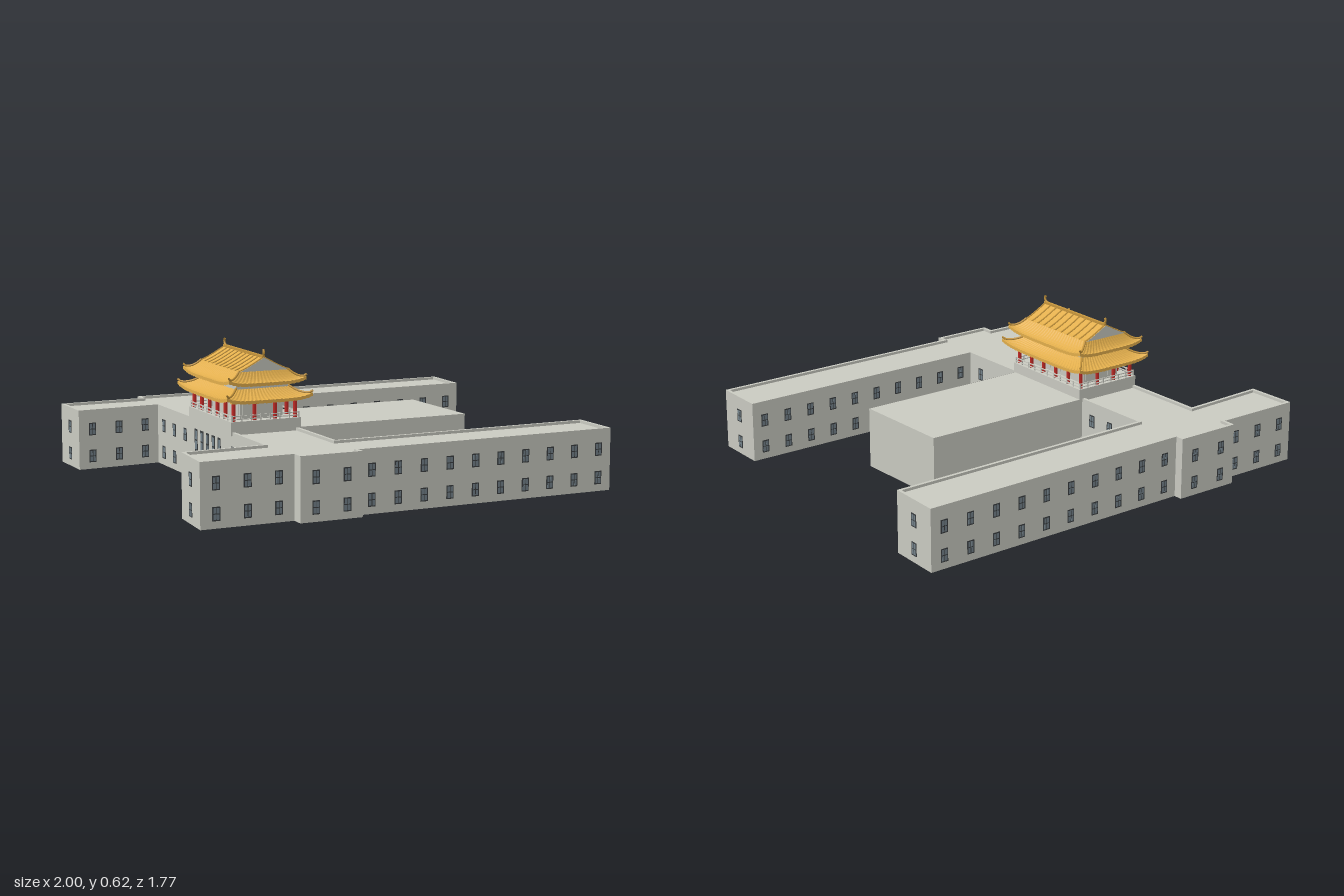
import * as THREE from 'three';
import { mergeGeometries } from 'three/addons/utils/BufferGeometryUtils.js';
import { ParametricGeometry } from 'three/addons/geometries/ParametricGeometry.js';

const mat = (name, color) => new THREE.MeshStandardMaterial({ name, color, side: THREE.DoubleSide });
const M = {
  stone: mat('stone grey', 0xc9cac1),
  glass: mat('glass blue grey', 0x74838b),
  frame: mat('frame dark grey', 0x3c4042),
  gold: mat('roof gold', 0xe2ae4c),
  rib: mat('ridge gold', 0xc7963c),
  red: mat('column red', 0xc42a26),
  brown: mat('timber brown', 0x7a5230),
  white: mat('trim white', 0xe2e2dc),
};
const H = 0.275;   // main building height
const FLOOR = 0.32; // pavilion floor

function add(parent, name, geo, material, x = 0, y = 0, z = 0) {
  const m = new THREE.Mesh(geo, material);
  m.name = name;
  m.position.set(x, y, z);
  parent.add(m);
  return m;
}
const box = (w, h, d, x = 0, y = 0, z = 0) => new THREE.BoxGeometry(w, h, d).translate(x, y, z);

// x, z and the windows on the wall that starts at this corner (a count, or z positions)
const OUTLINE = [
  [-0.998, -0.83, 3], [-0.6, -0.83, 0], [-0.6, -0.887, 2], [-0.3, -0.887, 0], [-0.3, -0.847, 10],
  [0.997, -0.86, 1], [0.992, -0.62, 10], [-0.29, -0.605, [0.52, 0.33, -0.3, -0.42, -0.54]],
  [-0.27, 0.605, 10], [0.94, 0.605, 1], [0.94, 0.842, 10], [-0.28, 0.842, 0], [-0.28, 0.882, 2],
  [-0.56, 0.882, 0], [-0.56, 0.825, 3], [-0.97, 0.825, 1], [-0.955, 0.59, 3],
  [-0.585, 0.575, [0.5, 0.38, 0.26, -0.28, -0.41, -0.54]], [-0.6, -0.615, 3], [-0.992, -0.597, 1],
];
const HALL = [[-0.28, -0.235], [0.54, -0.235], [0.555, 0.24], [-0.275, 0.24]];

// Window plates run through the wall so they show on both sides
function windowGeos(w, h) {
  const panes = [];
  for (const sx of [-1, 1]) for (const sy of [-1, 1])
    panes.push(box(w * 0.33, h * 0.38, 0.005, sx * w * 0.21, sy * h * 0.225, 0));
  return [box(w, h, 0.004), mergeGeometries(panes)];
}
const WINDOW = windowGeos(0.034, 0.058), TALL = windowGeos(0.03, 0.1);
function addWindow(wall, geos, x, y) {
  add(wall, 'windowFrame', geos[0], M.frame, x, y);
  add(wall, 'windowPanes', geos[1], M.glass, x, y);
}

// Upright wall sheet between two corners; returns a group facing outward
function addWall(parent, name, a, b) {
  const dx = b[0] - a[0], dz = b[1] - a[1], len = Math.hypot(dx, dz);
  const wall = new THREE.Group();
  wall.name = name;
  wall.position.set((a[0] + b[0]) / 2, 0, (a[1] + b[1]) / 2);
  wall.rotation.y = Math.atan2(dz, -dx);
  add(wall, 'wallFace', new THREE.PlaneGeometry(len, H), M.stone, 0, H / 2);
  parent.add(wall);
  return { wall, len, dz };
}

// Moves an outline inward with mitred corners
function inset(pts, d) {
  const n = pts.length;
  const normal = (a, b) => new THREE.Vector2(b[1] - a[1], a[0] - b[0]).normalize();
  return pts.map((p, i) => {
    const n1 = normal(pts[(i + n - 1) % n], p), n2 = normal(p, pts[(i + 1) % n]);
    const k = d / (1 + n1.dot(n2));
    return [p[0] - (n1.x + n2.x) * k, p[1] - (n1.y + n2.y) * k];
  });
}
const toPts = pts => pts.map(p => new THREE.Vector2(p[0], -p[1]));

function mainBuilding(root) {
  const g = new THREE.Group();
  g.name = 'mainBuilding';
  root.add(g);
  OUTLINE.forEach((a, i) => {
    const { wall, len, dz } = addWall(g, 'wingWall', a, OUTLINE[(i + 1) % OUTLINE.length]);
    const spots = Array.isArray(a[2])
      ? a[2].map(z => -(z - wall.position.z) * Math.sign(dz))
      : Array.from({ length: a[2] }, (_, k) => ((k + 0.5) / a[2] - 0.5) * len);
    for (const x of spots) for (const y of [0.06, 0.185]) addWindow(wall, WINDOW, x, y);
    // Entrance side: tall windows over an arched door
    if (i === 17) {
      for (let k = -2; k <= 2; k++) addWindow(wall, TALL, k * 0.065, 0.18);
      for (const [name, r, d, m] of [['doorSurround', 0.034, 0.004, M.brown], ['door', 0.025, 0.006, M.white]]) {
        const s = new THREE.Shape();
        s.moveTo(-r, 0).lineTo(r, 0).lineTo(r, 0.055);
        s.absarc(0, 0.055, r, 0, Math.PI, false);
        add(wall, name, new THREE.ExtrudeGeometry(s, { depth: d, bevelEnabled: false, curveSegments: 8 }), m, 0, 0, -d / 2);
      }
    }
  });
  // Flat roof behind a low parapet rim
  const rim = new THREE.Shape(toPts(OUTLINE)), inner = toPts(inset(OUTLINE, 0.014));
  rim.holes.push(new THREE.Path(inner));
  add(g, 'parapet', new THREE.ExtrudeGeometry(rim, { depth: 0.014, bevelEnabled: false }).rotateX(-Math.PI / 2), M.stone, 0, H - 0.014);
  add(g, 'flatRoof', new THREE.ShapeGeometry(new THREE.Shape(inner)).rotateX(-Math.PI / 2), M.stone, 0, H - 0.012);
  // Plain central hall, open below
  for (let i = 0; i < 3; i++) addWall(g, 'hallWall', HALL[i], HALL[i + 1]);
  add(g, 'hallRoof', new THREE.ShapeGeometry(new THREE.Shape(toPts(HALL))).rotateX(-Math.PI / 2), M.stone, 0, H - 0.001);
}

// Sweeping hipped eave: r = inner and outer half sizes and heights
function eave(parent, name, r, lift, spacing) {
  const g = new THREE.Group();
  g.name = name;
  parent.add(g);
  const point = (side, u, t, target) => {
    const a = THREE.MathUtils.lerp(r.a1, r.a0, t), b = THREE.MathUtils.lerp(r.b1, r.b0, t);
    const y = r.y1 + (r.y0 - r.y1) * (1 - Math.pow(1 - t, 1.7)) + lift * t * t * Math.pow(Math.abs(u), 5);
    const s = side < 2 ? 1 : -1;
    return side % 2 ? target.set(s * a, y, -s * b * u) : target.set(s * a * u, y, s * b);
  };
  for (let side = 0; side < 4; side++) {
    const slices = 4 * Math.round((side % 2 ? r.b0 : r.a0) * 2 / spacing);
    const tiles = new ParametricGeometry((u, v, p) => {
      const i = Math.round(u * slices);
      point(side, u * 2 - 1, Math.min(1, v * 7 / 6), p);
      if (i % 4 > 1) p.y += 0.0015;
      if (v > 0.93) p.y -= 0.014;
    }, slices, 7).toNonIndexed();
    tiles.computeVertexNormals();
    add(g, 'roofTiles', tiles, M.gold);
    add(g, 'eaveUnderside', new ParametricGeometry((u, v, p) => {
      point(side, u * 2 - 1, 0.15 + v * 0.84, p);
      p.y -= 0.01;
    }, 20, 3), M.gold);
    // Hip ridge with an upturned tip
    const path = [0, 0.3, 0.6, 0.85, 1].map(t => point(side, 1, t, new THREE.Vector3()).add(new THREE.Vector3(0, 0.004, 0)));
    path[4].y += 0.006;
    add(g, 'hipRidge', new THREE.TubeGeometry(new THREE.CatmullRomCurve3(path), 8, 0.005, 6), M.rib);
  }
}

function pavilion(root) {
  const g = new THREE.Group();
  g.name = 'pavilion';
  g.position.set(-0.431, 0, 0.011);
  root.add(g);
  add(g, 'platform', box(0.33, FLOOR - H + 0.015, 0.486), M.stone, 0, (FLOOR + H) / 2 - 0.0075);
  add(g, 'lowerRoom', box(0.2, 0.11, 0.38), M.stone, 0, 0.375);
  add(g, 'upperRoom', box(0.25, 0.06, 0.41), M.stone, 0, 0.465);

  // Red columns round the gallery, with panels behind and a beam above
  const cx = 0.1445, cz = 0.225, columns = [];
  for (let i = 0; i < 6; i++) for (const s of [-1, 1]) columns.push([s * cx, (i / 5 * 2 - 1) * cz]);
  for (const x of [-cx / 3, cx / 3]) for (const s of [-1, 1]) columns.push([x, s * cz]);
  const colGeo = new THREE.CylinderGeometry(0.0085, 0.0085, 0.088, 10);
  for (const [x, z] of columns) {
    add(g, 'column', colGeo, M.red, x, FLOOR + 0.044, z);
    add(g, 'columnBracket', box(0.024, 0.009, 0.024), M.gold, x, 0.4, z);
  }
  for (const s of [-1, 1]) {
    add(g, 'sideBeam', box(0.01, 0.01, 0.46), M.rib, s * cx, 0.404, 0);
    add(g, 'endBeam', box(0.3, 0.01, 0.01), M.rib, 0, 0.404, s * cz);
    for (let i = -2; i <= 2; i++) add(g, 'sidePanel', box(0.006, 0.06, 0.05), M.stone, s * 0.1, 0.365, i * 0.075);
    for (const x of [-0.065, 0, 0.065]) add(g, 'endPanel', box(0.045, 0.06, 0.006), M.stone, x, 0.365, s * 0.19);
  }

  // Gallery railing
  const rails = [], rx = 0.157, rz = 0.236;
  for (const s of [-1, 1]) {
    for (const y of [0.329, 0.343]) rails.push(box(0.005, 0.004, 2 * rz, s * rx, y, 0), box(2 * rx, 0.004, 0.005, 0, y, s * rz));
    for (let i = 0; i <= 10; i++) rails.push(box(0.005, 0.028, 0.005, s * rx, 0.333, (i / 5 - 1) * rz));
    for (let i = 1; i < 7; i++) rails.push(box(0.005, 0.028, 0.005, (i / 3.5 - 1) * rx, 0.333, s * rz));
  }
  add(g, 'railing', mergeGeometries(rails), M.stone);

  eave(g, 'lowerEave', { a1: 0.122, b1: 0.202, y1: 0.455, a0: 0.2, b0: 0.288, y0: 0.413 }, 0.018, 0.02);
  eave(g, 'upperEave', { a1: 0.113, b1: 0.215, y1: 0.53, a0: 0.182, b0: 0.264, y0: 0.484 }, 0.018, 0.02);

  // Gabled upper roof with raised tile ribs
  const slopeY = t => 0.588 - 0.058 * (1 - Math.pow(1 - t, 1.15));
  for (const s of [-1, 1]) {
    add(g, 'upperRoof', new ParametricGeometry((u, v, p) =>
      p.set(s * 0.115 * v, slopeY(v), (u * 2 - 1) * 0.222), 1, 6), M.gold);
    for (let i = 0; i <= 10; i++) {
      const path = [0, 0.35, 0.7, 1].map(t => new THREE.Vector3(s * 0.115 * t, slopeY(t) + 0.001, (i / 5 - 1) * 0.215));
      add(g, 'roofRib', new THREE.TubeGeometry(new THREE.CatmullRomCurve3(path), 6, 0.004, 5), M.rib);
    }
    const half = [0, 0.35, 0.7, 1].map(t => [0.115 * t, slopeY(t)]);
    const edge = [...half, ...half.slice(1).reverse().map(([x, y]) => [-x, y])];
    add(g, 'gable', new THREE.ShapeGeometry(new THREE.Shape(edge.map(p => new THREE.Vector2(...p)))), M.stone, 0, 0, s * 0.221);
    // Ridge end finial
    const tip = new THREE.CatmullRomCurve3([[0.59, 0.195], [0.597, 0.213], [0.61, 0.22], [0.622, 0.215]].map(([y, z]) => new THREE.Vector3(0, y, s * z)));
    add(g, 'ridgeFinial', new THREE.TubeGeometry(tip, 8, 0.0055, 6), M.rib);
  }
  add(g, 'ridge', box(0.013, 0.014, 0.44), M.rib, 0, 0.588);
}

export function createModel() {
  const root = new THREE.Group();
  root.name = 'courtyardBuilding';
  mainBuilding(root);
  pavilion(root);
  return root;
}
